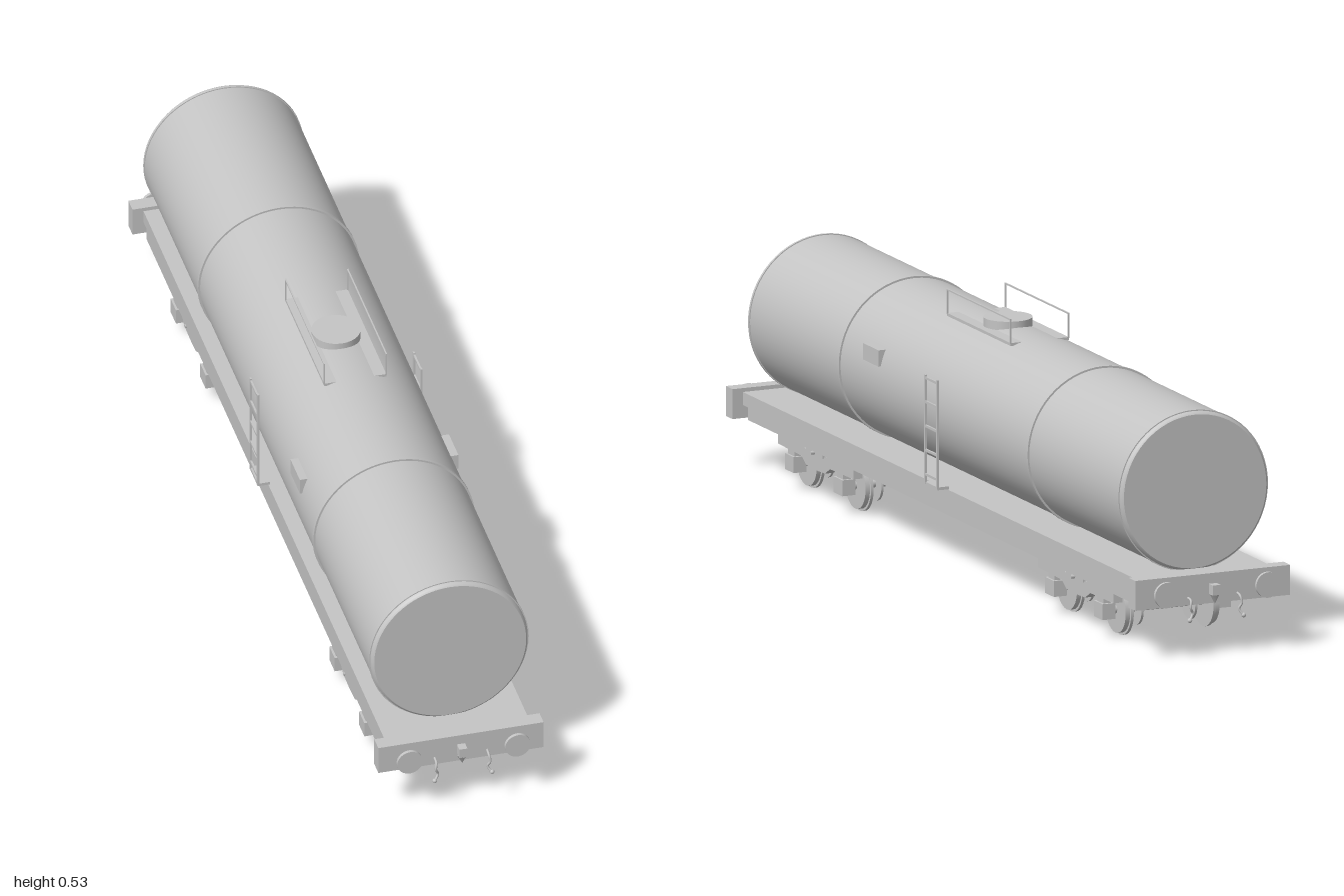
import * as THREE from 'three';

const grey = new THREE.MeshStandardMaterial({ color: 0xc4c4c4 });
grey.name = 'light grey';

function add(parent, name, geometry, x = 0, y = 0, z = 0) {
  const mesh = new THREE.Mesh(geometry, grey);
  mesh.name = name;
  mesh.position.set(x, y, z);
  parent.add(mesh);
  return mesh;
}
const box = (w, h, d) => new THREE.BoxGeometry(w, h, d);
const cylX = (r, len, n = 32) => new THREE.CylinderGeometry(r, r, len, n).rotateZ(Math.PI / 2);
const cylZ = (r, len, n = 32) => new THREE.CylinderGeometry(r, r, len, n).rotateX(Math.PI / 2);
const both = (fn) => [-1, 1].forEach(fn);

function makeTank() {
  const g = new THREE.Group();
  g.name = 'tank';
  // Barrel with slightly rounded rims; repeated points keep the edges sharp
  const half = [[0, 0.892], [0.159, 0.892], [0.159, 0.892], [0.163, 0.889], [0.165, 0.882], [0.165, 0.882]];
  const profile = [
    ...half.map(([r, z]) => new THREE.Vector2(r, -z)),
    ...half.slice().reverse().map(([r, z]) => new THREE.Vector2(r, z)),
  ];
  add(g, 'barrel', new THREE.LatheGeometry(profile, 64).rotateX(Math.PI / 2), 0, 0.32, 0);
  both((s) => {
    add(g, 'strap', cylZ(0.169, 0.008, 64), 0, 0.32, s * 0.45);
    add(g, 'endRim', cylZ(0.167, 0.006, 64), 0, 0.32, s * 0.88);
    add(g, 'signPlate', box(0.02, 0.034, 0.074), s * 0.156, 0.372, 0.3);
  });

  // Hatch, walkway and railings on top
  add(g, 'hatch', new THREE.CylinderGeometry(0.05, 0.05, 0.03, 32), 0, 0.483, 0);
  add(g, 'walkway', box(0.13, 0.006, 0.302), 0, 0.477, 0);
  both((s) => {
    add(g, 'handrail', box(0.003, 0.003, 0.304), s * 0.065, 0.529, 0);
    both((e) => add(g, 'railPost', box(0.003, 0.052, 0.003), s * 0.065, 0.504, e * 0.15));
  });

  // Side ladders
  both((s) => {
    both((e) => add(g, 'ladderRail', box(0.004, 0.226, 0.006), s * 0.171, 0.275, e * 0.029));
    for (let i = 0; i < 5; i++) {
      add(g, 'ladderRung', box(0.004, 0.005, 0.058), s * 0.171, 0.182 + i * 0.05, 0);
    }
    add(g, 'ladderFoot', box(0.026, 0.006, 0.062), s * 0.159, 0.163, 0);
  });
  return g;
}

function makeUnderframe() {
  const g = new THREE.Group();
  g.name = 'underframe';
  add(g, 'deck', box(0.3, 0.027, 1.9), 0, 0.1465, 0);
  both((s) => add(g, 'sideSill', box(0.018, 0.026, 1.84), s * 0.141, 0.12, 0));
  both((e) => add(g, 'crossBeam', box(0.27, 0.026, 0.02), 0, 0.12, e * 0.91));
  return g;
}

function makeEnd() {
  const g = new THREE.Group();
  g.name = 'endGear';
  add(g, 'bufferBeam', box(0.346, 0.062, 0.032), 0, 0.137, 0.96);
  both((s) => {
    add(g, 'bufferShaft', cylZ(0.01, 0.02, 16), s * 0.113, 0.137, 0.984);
    add(g, 'bufferHead', cylZ(0.0265, 0.007), s * 0.113, 0.137, 0.9965);
    // Hanging brake hose
    const path = new THREE.CatmullRomCurve3([
      [0.055, 0.122, 0.972], [0.055, 0.118, 0.99], [0.057, 0.104, 0.993], [0.052, 0.092, 0.99], [0.06, 0.078, 0.996],
    ].map(([x, y, z]) => new THREE.Vector3(s * x, y, z)));
    add(g, 'brakeHose', new THREE.TubeGeometry(path, 16, 0.0026, 8));
    add(g, 'hoseCoupling', new THREE.SphereGeometry(0.005, 10, 8), s * 0.06, 0.079, 0.995);
  });
  // Coupling: a block with a tapered hook below
  add(g, 'couplingBlock', box(0.017, 0.021, 0.02), 0, 0.136, 0.985);
  add(g, 'couplingHook', new THREE.ConeGeometry(0.011, 0.02, 4).rotateX(Math.PI), 0, 0.116, 0.986);
  return g;
}

function makeBogie() {
  const g = new THREE.Group();
  g.name = 'bogie';
  // Cranked side frame, drawn along the track and given thickness across it
  const outline = [[0.18, 0.117], [0.18, 0.082], [0.068, 0.08], [0.045, 0.066], [0, 0.064]];
  const top = [[0, 0.096], [0.05, 0.099], [0.075, 0.117]];
  const pts = [
    ...outline.map(([z, y]) => new THREE.Vector2(z, y)),
    ...outline.slice(0, 4).reverse().map(([z, y]) => new THREE.Vector2(-z, y)),
    ...top.slice(1).reverse().map(([z, y]) => new THREE.Vector2(-z, y)),
    ...top.map(([z, y]) => new THREE.Vector2(z, y)),
  ];
  const frame = new THREE.ExtrudeGeometry(new THREE.Shape(pts), { depth: 0.02, bevelEnabled: false });
  frame.rotateY(-Math.PI / 2).translate(0.01, 0, 0);
  both((s) => {
    add(g, 'sideFrame', frame, s * 0.129, 0, 0);
    add(g, 'springSeat', box(0.026, 0.012, 0.08), s * 0.129, 0.102, 0);
    add(g, 'spring', new THREE.CylinderGeometry(0.014, 0.014, 0.03, 16), s * 0.129, 0.118, 0);
    add(g, 'sideBearerPin', cylX(0.004, 0.012, 8), s * 0.145, 0.101, 0);
  });
  add(g, 'bolster', box(0.25, 0.016, 0.05), 0, 0.088, 0);
  add(g, 'pivot', new THREE.CylinderGeometry(0.03, 0.03, 0.045, 24), 0, 0.112, 0);

  // Two wheelsets with wheels, brake discs and axle boxes
  both((e) => {
    const w = new THREE.Group();
    w.name = 'wheelset';
    w.position.set(0, 0.054, e * 0.116);
    add(w, 'axle', cylX(0.009, 0.25, 20));
    both((s) => {
      add(w, 'wheelTread', cylX(0.049, 0.016), s * 0.097, 0, 0);
      add(w, 'wheelFlange', cylX(0.054, 0.006), s * 0.092, 0, 0);
      add(w, 'brakeDisc', cylX(0.034, 0.005), s * 0.06, -0.002, 0);
      add(w, 'axleBox', box(0.029, 0.033, 0.042), s * 0.129, 0.001, 0);
      add(w, 'axleBoxMount', box(0.02, 0.016, 0.03), s * 0.129, 0.022, 0);
    });
    g.add(w);
  });
  return g;
}

export function createModel() {
  const model = new THREE.Group();
  model.name = 'tankWagon';
  model.add(makeTank(), makeUnderframe());
  both((e) => {
    const end = makeEnd();
    if (e < 0) end.rotation.y = Math.PI;
    const bogie = makeBogie();
    bogie.position.z = e * 0.62;
    model.add(end, bogie);
  });
  return model;
}
